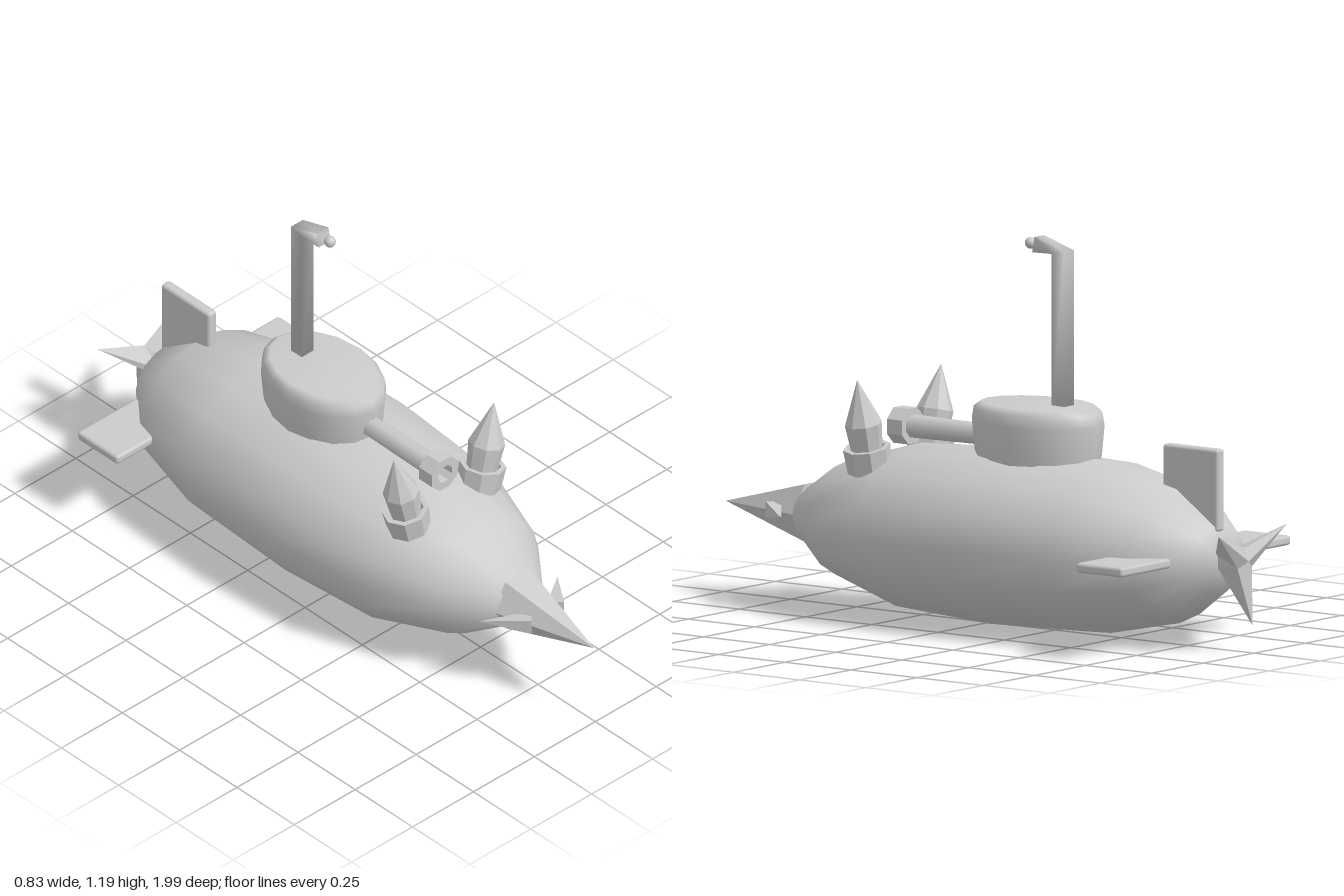
import * as THREE from 'three';
import { toCreasedNormals } from 'three/addons/utils/BufferGeometryUtils.js';
import { RoundedBoxGeometry } from 'three/addons/geometries/RoundedBoxGeometry.js';

const AXIS_Y = 0.275;
const smooth = new THREE.MeshStandardMaterial({ color: 0xcccccc });
const flat = new THREE.MeshStandardMaterial({ color: 0xcccccc, flatShading: true });

const lathe = (points, sides) =>
  new THREE.LatheGeometry(points.map(([r, y]) => new THREE.Vector2(r, y)), sides);

// Closed skin over rings of points, each counter-clockwise about the travel direction
function loft(rings) {
  const centre = (ring) =>
    ring.reduce((sum, p) => sum.add(p), new THREE.Vector3()).divideScalar(ring.length);
  const points = [];
  const n = rings[0].length, last = rings[rings.length - 1];
  const c0 = centre(rings[0]), c1 = centre(last);
  for (let i = 0; i < n; i++) {
    const j = (i + 1) % n;
    points.push(c0, rings[0][j], rings[0][i], c1, last[i], last[j]);
    for (let k = 0; k < rings.length - 1; k++) {
      const a = rings[k], b = rings[k + 1];
      points.push(a[i], a[j], b[j], a[i], b[j], b[i]);
    }
  }
  const geometry = new THREE.BufferGeometry().setFromPoints(points);
  geometry.computeVertexNormals();
  return geometry;
}

export function createModel() {
  const model = new THREE.Group();
  function add(name, geometry, material = smooth, parent = model) {
    const mesh = new THREE.Mesh(geometry, material);
    mesh.name = name;
    parent.add(mesh);
    return mesh;
  }

  // Hull: a 16-sided spindle along z, wider than it is tall
  const hull = lathe([
    [0, -0.89], [0.39, -0.865], [0.76, -0.72], [0.96, -0.46], [1, -0.1],
    [0.925, 0.26], [0.65, 0.52], [0.285, 0.67], [0, 0.67],
  ], 16);
  hull.rotateX(Math.PI / 2).scale(0.335, 0.27, 1);
  add('hull', toCreasedNormals(hull, 1.0)).position.y = AXIS_Y;

  // Nose spike with two swept-back barbs
  const nose = new THREE.ConeGeometry(0.1, 0.335, 6, 1, false, Math.PI / 2);
  add('noseSpike', nose.rotateX(Math.PI / 2), flat).position.set(0, 0.28, 0.8275);
  for (const s of [-1, 1]) {
    const base = new THREE.Vector3(s * 0.05, 0.28, 0.775);
    const axis = new THREE.Vector3(s * 0.16, 0.28, 0.665).sub(base);
    const length = axis.length();
    const barb = add('noseBarb', new THREE.ConeGeometry(0.035, length, 4).translate(0, length / 2, 0), flat);
    barb.position.copy(base);
    barb.quaternion.setFromUnitVectors(new THREE.Vector3(0, 1, 0), axis.normalize());
  }

  // Conning tower
  const tower = lathe([[0.9, 0.48], [0.96, 0.54], [1, 0.63], [0.97, 0.667], [0.86, 0.685], [0, 0.69]], 16);
  tower.scale(0.155, 1, 0.222);
  add('conningTower', tower).position.z = -0.185;

  // Periscope: square pipe with a mitred bend, and a small lens ball
  const pipeRing = (y, z, vy, vz) => [[1, -1], [1, 1], [-1, 1], [-1, -1]].map(([u, v]) =>
    new THREE.Vector3(u * 0.024, y + v * vy, z + v * vz));
  const pipe = loft([
    pipeRing(0.66, -0.278, 0, -0.0235),
    pipeRing(1.15, -0.278, 0.005, -0.0235),
    pipeRing(1.167, -0.185, 0.0235, -0.004),
  ]);
  add('periscope', toCreasedNormals(pipe, 1.62));
  add('periscopeLens', new THREE.SphereGeometry(0.018, 12, 8)).position.set(0, 1.167, -0.157);

  // Deck gun: tapered barrel and a hollow octagonal muzzle
  const gun = new THREE.Group();
  gun.name = 'deckGun';
  gun.position.y = 0.572;
  model.add(gun);
  const barrel = new THREE.CylinderGeometry(0.036, 0.032, 0.32, 8, 1, true, Math.PI / 8);
  add('gunBarrel', barrel.rotateX(Math.PI / 2), smooth, gun).position.z = 0.14;
  const muzzle = lathe([
    [0, 0.288], [0.058, 0.288], [0.058, 0.345], [0.03, 0.345], [0.027, 0.30], [0, 0.30],
  ], 8);
  muzzle.rotateY(Math.PI / 8).rotateX(Math.PI / 2);
  add('gunMuzzle', muzzle, flat, gun);

  // Pair of missiles in cups, leaning outward
  for (const s of [-1, 1]) {
    const launcher = new THREE.Group();
    launcher.name = 'missileLauncher';
    launcher.position.set(s * 0.143, 0.45, 0.34);
    launcher.rotation.z = -s * 0.22;
    model.add(launcher);
    add('launcherCup', lathe([
      [0, 0], [0.067, 0], [0.072, 0.075], [0.056, 0.075], [0.05, 0.04], [0, 0.04],
    ], 8), flat, launcher);
    add('missile', lathe([[0, 0.03], [0.044, 0.03], [0.056, 0.15], [0, 0.288]], 8), flat, launcher);
  }

  // Tail fins
  for (const s of [-1, 1]) {
    add('sideFin', new RoundedBoxGeometry(0.245, 0.03, 0.177, 1, 0.01))
      .position.set(s * 0.2925, 0.28, -0.733);
  }
  add('topFin', new RoundedBoxGeometry(0.036, 0.25, 0.21, 1, 0.01)).position.set(0, 0.485, -0.772);

  // Propeller: three-pointed star flaring back from a small hub
  const starRing = (tip, notch, tipZ, notchZ) => Array.from({ length: 6 }, (_, k) => {
    const a = k * Math.PI / 3, r = k % 2 ? tip : notch;
    return new THREE.Vector3(Math.sin(a) * r, Math.cos(a) * r, k % 2 ? tipZ : notchZ);
  });
  const propeller = loft([
    starRing(0.03, 0.03, -0.875, -0.875),
    starRing(0.192, 0.04, -0.995, -0.965),
  ]);
  add('propeller', propeller, flat).position.y = 0.28;

  return model;
}
